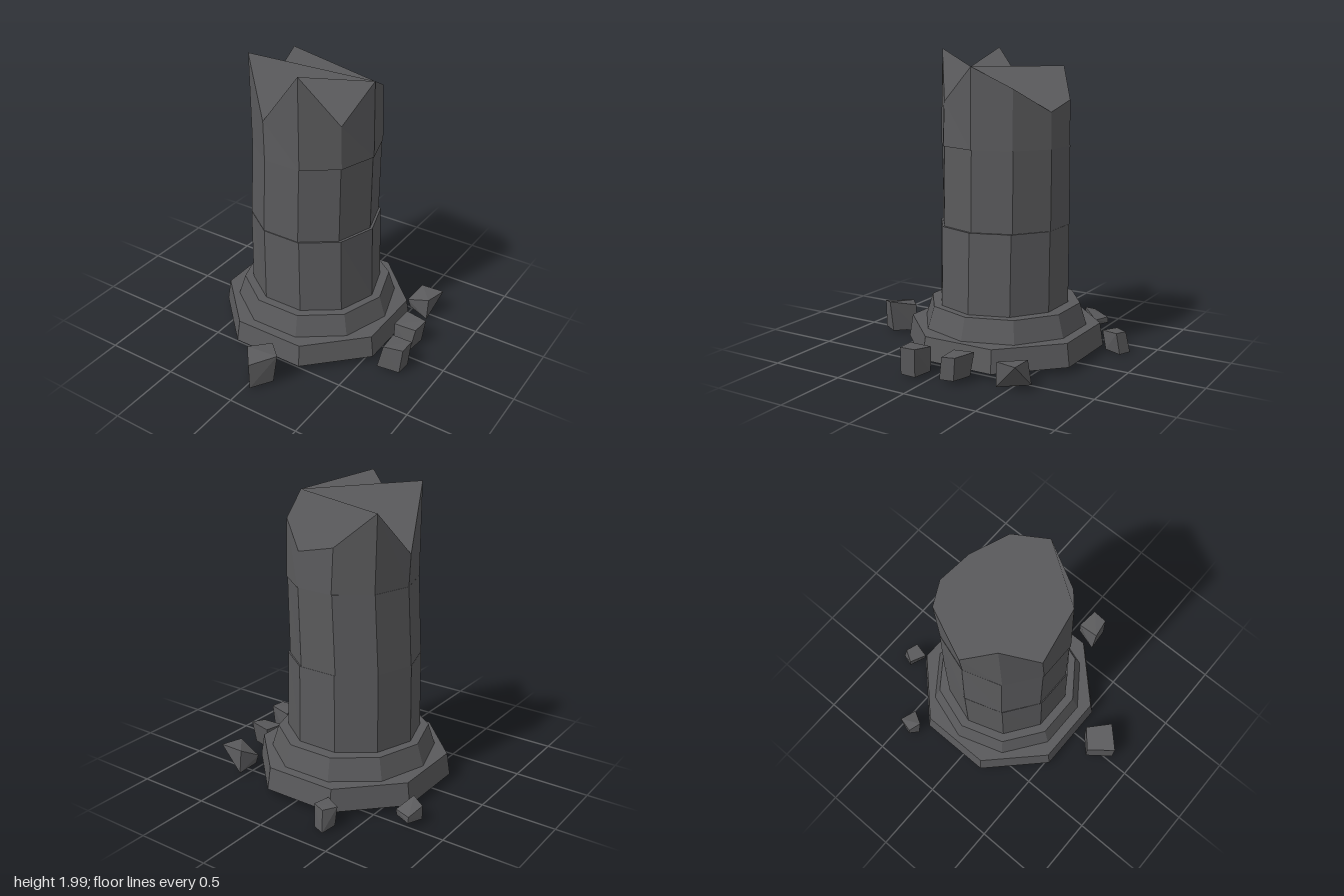
import * as THREE from 'three';
import { ConvexGeometry } from 'three/addons/geometries/ConvexGeometry.js';

// All faces keep their own normals, so the facets stay flat
const stone = new THREE.MeshStandardMaterial({ color: 0x5a5a5c, side: THREE.DoubleSide });
stone.name = 'dark stone';

// Ring of corners; y is one height or one height per corner
function ring(sides, turn, cx, cz, rx, rz, y) {
  return Array.from({ length: sides }, (_, k) => {
    const a = turn + (k * 2 * Math.PI) / sides;
    return [cx + rx * Math.cos(a), Array.isArray(y) ? y[k] : y, cz + rz * Math.sin(a)];
  });
}

// Block open below; its cap is fanned from the first corner and shaded as one level face
function block(name, bottom, top) {
  const n = bottom.length, pos = [];
  const tri = (a, b, c) => pos.push(...a, ...b, ...c);
  for (let k = 0; k < n; k++) {
    const j = (k + 1) % n;
    tri(bottom[k], top[k], top[j]);
    tri(bottom[k], top[j], bottom[j]);
  }
  const capStart = pos.length / 3;
  for (let k = 1; k < n - 1; k++) tri(top[0], top[k + 1], top[k]);
  const geo = new THREE.BufferGeometry();
  geo.setAttribute('position', new THREE.Float32BufferAttribute(pos, 3));
  geo.computeVertexNormals();
  const normal = geo.attributes.normal;
  for (let i = capStart; i < normal.count; i++) normal.setXYZ(i, 0, 1, 0);
  const mesh = new THREE.Mesh(geo, stone);
  mesh.name = name;
  return mesh;
}

// Chipped stone spanned by its corners [x, y, z]
function rubble(name, corners) {
  const pts = corners.map((p) => new THREE.Vector3(...p));
  const mesh = new THREE.Mesh(new ConvexGeometry(pts), stone);
  mesh.name = name;
  return mesh;
}

export function createModel() {
  const g = new THREE.Group();
  g.name = 'brokenColumn';
  const e = Math.PI / 8;

  // Stepped base: hollow octagonal plinth and ten-sided collar
  g.add(block('plinth',
    ring(8, e, -0.05, -0.08, 0.66, 0.66, 0.05),
    ring(8, e, -0.05, -0.08, 0.637, 0.637, 0.2)));
  g.add(block('collar',
    ring(10, 0, -0.05, -0.08, 0.55, 0.55, 0.2),
    ring(10, 0, -0.05, -0.08, 0.505, 0.505, 0.345)));

  // Shaft drums, slightly out of line with each other
  g.add(block('lowerDrum',
    ring(10, 0, -0.0475, -0.07, 0.4475, 0.434, 0.345),
    ring(10, 0, -0.0525, -0.071, 0.4375, 0.432, 0.87)));
  g.add(block('middleDrum',
    ring(10, 0, -0.061, -0.073, 0.428, 0.428, 0.87),
    ring(10, 0, -0.0485, -0.079, 0.4165, 0.428, 1.39)));

  // Broken top drum with a jagged rim
  const rim = [1.9, 1.675, 2, 1.65, 2, 1.6, 1.885, 1.68, 1.62, 1.77];
  g.add(block('brokenDrum',
    ring(10, 0, -0.0435, -0.077, 0.42, 0.431, 1.39),
    ring(10, 0, -0.054, -0.077, 0.421, 0.422, rim)));

  // Rubble around the base
  g.add(rubble('frontRubble', [
    [0.04, 0.215, 0.59], [0.17, 0.25, 0.72], [0.04, 0.21, 0.855], [-0.085, 0.205, 0.7],
    [0.03, 0.035, 0.595], [0.135, 0.03, 0.72], [0.04, 0.02, 0.85], [-0.085, 0.045, 0.7]]));
  g.add(rubble('leftRubbleFront', [
    [0.64, 0.185, 0.05], [0.79, 0.205, 0.07], [0.785, 0.2, 0.18], [0.65, 0.19, 0.2],
    [0.655, 0.03, 0.045], [0.775, 0.02, 0.08], [0.77, 0.02, 0.19], [0.61, 0.015, 0.205]]));
  g.add(rubble('leftRubbleMiddle', [
    [0.59, 0.185, -0.235], [0.755, 0.19, -0.2], [0.735, 0.17, -0.09], [0.58, 0.17, -0.08],
    [0.6, 0.03, -0.21], [0.74, 0.035, -0.18], [0.715, 0.015, -0.06], [0.585, 0.015, -0.065]]));
  g.add(rubble('leftRubbleBack', [
    [0.53, 0.18, -0.575], [0.695, 0.185, -0.58], [0.655, 0.18, -0.43], [0.485, 0.11, -0.45],
    [0.525, 0.025, -0.6], [0.65, 0.02, -0.425], [0.5, 0.05, -0.46]]));
  g.add(rubble('backRubble', [
    [-0.35, 0.15, -0.83], [-0.265, 0.155, -0.8], [-0.29, 0.155, -0.69], [-0.4, 0.15, -0.745],
    [-0.365, 0.01, -0.857], [-0.28, 0.01, -0.82], [-0.28, 0.03, -0.72], [-0.395, 0.03, -0.765]]));
  g.add(rubble('rightRubble', [
    [-0.765, 0.09, -0.515], [-0.65, 0.09, -0.475], [-0.71, 0.155, -0.365], [-0.795, 0.125, -0.4],
    [-0.765, 0.05, -0.52], [-0.65, 0.05, -0.47], [-0.74, 0.01, -0.365], [-0.8, 0.04, -0.41]]));

  return g;
}
